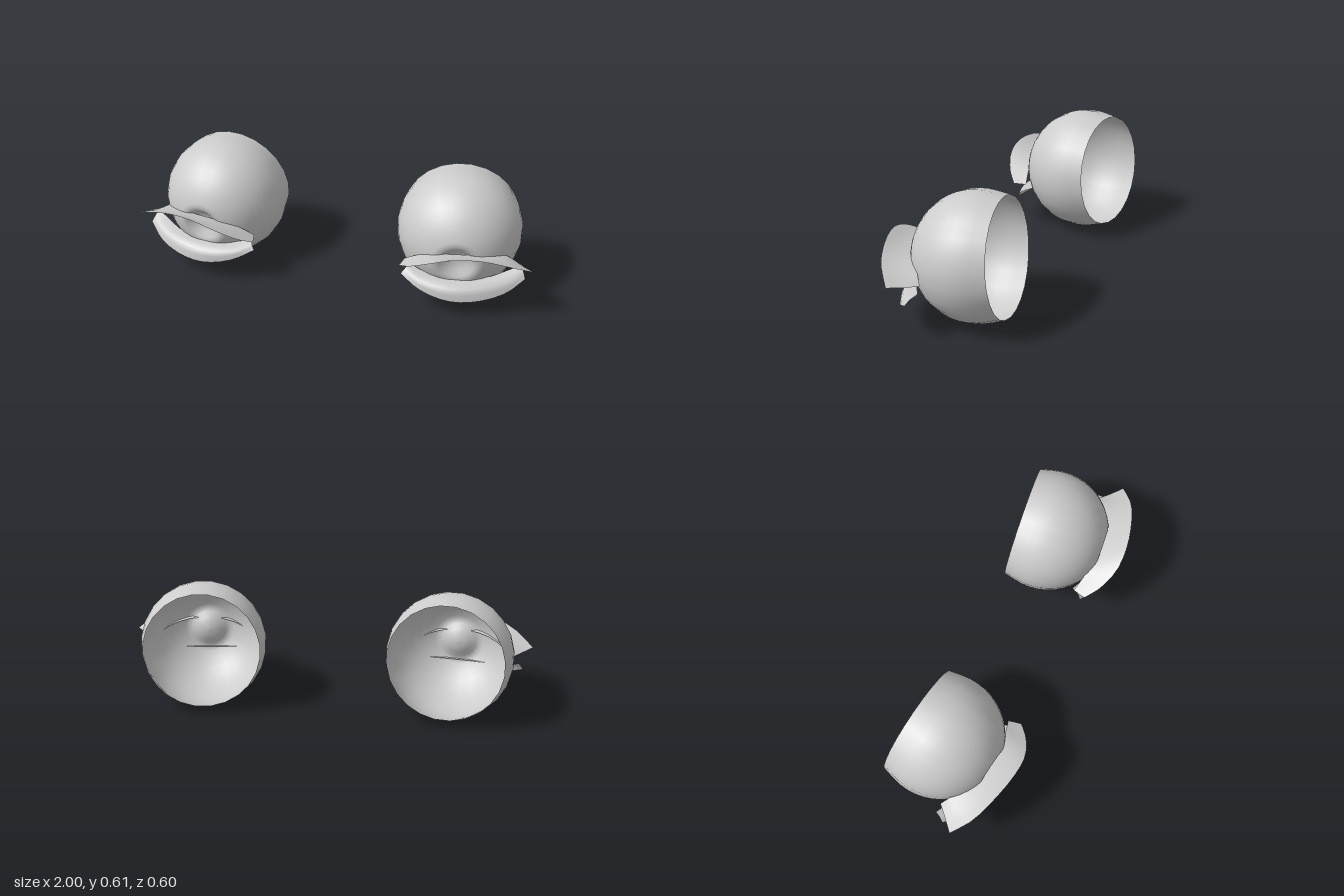
import * as THREE from 'three';

const grey = new THREE.MeshStandardMaterial({ color: 0xcccccc, side: THREE.DoubleSide });
grey.name = 'plain grey';

// Smooth sheet lofted through rows of points; side = 1 or -1 mirrors it in x
function sheet(name, rows, side, across = 4, along = 14) {
  const curves = rows.map((row) =>
    new THREE.CatmullRomCurve3(row.map(([x, y, z]) => new THREE.Vector3(x * side, y, z))));
  const pos = [], index = [];
  for (let i = 0; i <= along; i++) {
    const section = new THREE.CatmullRomCurve3(curves.map((c) => c.getPoint(i / along)));
    for (let j = 0; j <= across; j++) pos.push(...section.getPoint(j / across).toArray());
  }
  const w = across + 1;
  for (let i = 0; i < along; i++) {
    for (let j = 0; j < across; j++) {
      const a = i * w + j, b = a + 1, c = a + w, d = c + 1;
      if (side > 0) index.push(a, b, c, b, d, c);
      else index.push(a, c, b, b, c, d);
    }
  }
  const geo = new THREE.BufferGeometry();
  geo.setAttribute('position', new THREE.Float32BufferAttribute(pos, 3));
  geo.setIndex(index);
  geo.computeVertexNormals();
  const mesh = new THREE.Mesh(geo, grey);
  mesh.name = name;
  return mesh;
}

// Open-backed ball with a shallow iris hollow in front
function eyeball(side) {
  const R = 0.306, profile = [new THREE.Vector2(0.281, -0.138)];
  for (let i = 0; i <= 10; i++) {
    const a = THREE.MathUtils.lerp(-0.25, 1.15, i / 10);
    profile.push(new THREE.Vector2(R * Math.cos(a), R * Math.sin(a)));
  }
  for (const [r, t] of [[0.105, 0.285], [0.085, 0.28], [0.06, 0.262], [0.03, 0.25], [0, 0.247]]) {
    profile.push(new THREE.Vector2(r, t));
  }
  const mesh = new THREE.Mesh(new THREE.LatheGeometry(profile, 24), grey);
  const gaze = new THREE.Vector3(0.13 * side, -0.1, 1).normalize();
  mesh.quaternion.setFromUnitVectors(new THREE.Vector3(0, 1, 0), gaze);
  mesh.position.set(0.6 * side, 0.303, -0.122);
  mesh.name = 'eyeball';
  return mesh;
}

// Lash rows run from the outer corner to the inner corner
const upperRows = [
  [[0.89, 0.25, 0.015], [0.85, 0.292, 0.05], [0.75, 0.323, 0.125], [0.61, 0.328, 0.16],
    [0.5, 0.308, 0.155], [0.43, 0.275, 0.14], [0.38, 0.24, 0.125]],
  [[0.945, 0.256, 0.07], [0.88, 0.308, 0.135], [0.76, 0.347, 0.2], [0.625, 0.353, 0.232],
    [0.515, 0.326, 0.225], [0.43, 0.277, 0.19], [0.372, 0.24, 0.16]],
  [[1.0, 0.268, 0.12], [0.907, 0.33, 0.2], [0.77, 0.38, 0.257], [0.64, 0.384, 0.288],
    [0.53, 0.346, 0.288], [0.43, 0.283, 0.245], [0.366, 0.24, 0.19]],
];
const lowerRows = [
  [[0.93, 0.225, 0.01], [0.87, 0.203, 0.04], [0.77, 0.182, 0.1], [0.61, 0.177, 0.135],
    [0.47, 0.187, 0.13], [0.4, 0.21, 0.11]],
  [[0.942, 0.205, 0.035], [0.885, 0.18, 0.1], [0.765, 0.168, 0.172], [0.61, 0.165, 0.215],
    [0.46, 0.174, 0.195], [0.385, 0.195, 0.15]],
  [[0.955, 0.175, 0.055], [0.875, 0.128, 0.13], [0.74, 0.102, 0.2], [0.61, 0.1, 0.225],
    [0.47, 0.13, 0.208], [0.37, 0.176, 0.165]],
];

export function createModel() {
  const model = new THREE.Group();
  model.name = 'eyes';
  for (const side of [1, -1]) {
    const eye = new THREE.Group();
    eye.name = side > 0 ? 'leftEye' : 'rightEye';
    eye.add(eyeball(side));
    eye.add(sheet('upperLash', upperRows, side));
    eye.add(sheet('lowerLash', lowerRows, side));
    model.add(eye);
  }
  return model;
}
